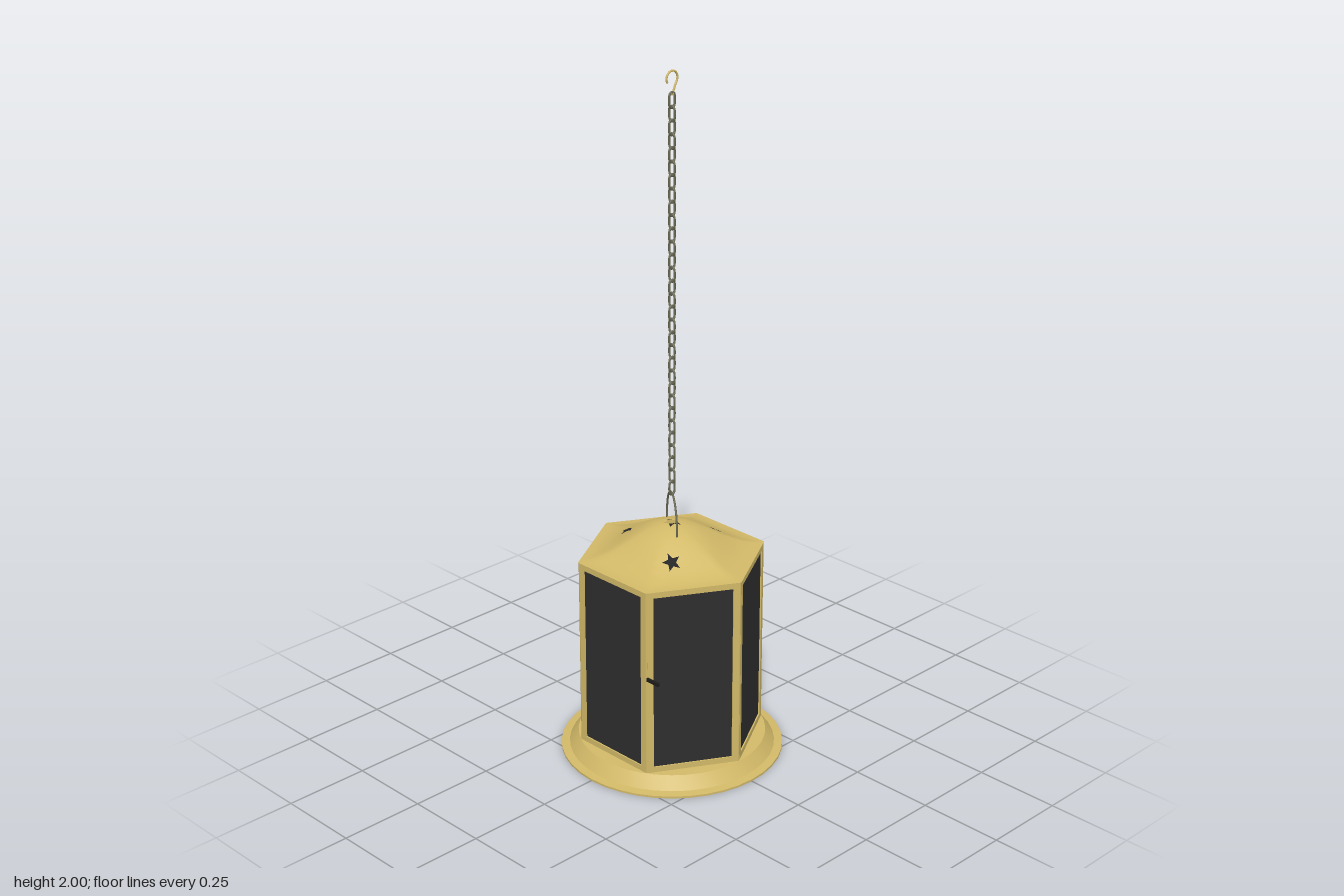
import * as THREE from 'three';
import { mergeVertices, toCreasedNormals } from 'three/addons/utils/BufferGeometryUtils.js';

const R = 0.272;                        // hexagon corner radius
const APOTHEM = R * Math.cos(Math.PI / 6);
const V3 = (x, y, z) => new THREE.Vector3(x, y, z);

// Five-pointed star outline as 2D points
function starPoints(cx, cy, outer, inner, turn) {
  return Array.from({ length: 10 }, (_, i) => {
    const a = turn + i * Math.PI / 5, r = i % 2 ? inner : outer;
    return new THREE.Vector2(cx + r * Math.cos(a), cy + r * Math.sin(a));
  });
}

// Roof height: round dome in the middle, blending to the hexagonal eave
function roofHeight(x, z) {
  let hex = 0;
  for (let i = 0; i < 6; i++) {
    const a = Math.PI / 6 + i * Math.PI / 3;
    hex = Math.max(hex, (x * Math.cos(a) + z * Math.sin(a)) / APOTHEM);
  }
  hex = Math.min(hex, 1);
  const blend = hex * hex * (3 - 2 * hex);
  const t = Math.min(1, (Math.hypot(x, z) / 0.265) * (1 - blend) + hex * blend);
  return 0.61 + 0.047 * (1 + Math.cos(Math.PI * t));
}

// Flat hexagon with star holes, subdivided and then raised into a dome
function roofGeometry() {
  const shape = new THREE.Shape(Array.from({ length: 6 }, (_, i) =>
    new THREE.Vector2(R * Math.cos(i * Math.PI / 3), R * Math.sin(i * Math.PI / 3))));
  for (const deg of [45, 165, 285]) {
    const a = -deg * Math.PI / 180;
    shape.holes.push(new THREE.Path(
      starPoints(0.143 * Math.cos(a), 0.143 * Math.sin(a), 0.027, 0.012, a - 0.2)));
  }
  shape.holes.push(new THREE.Path(starPoints(0, 0, 0.028, 0.013, Math.PI / 2)));
  const flat = new THREE.ShapeGeometry(shape).toNonIndexed().attributes.position;
  const out = [];
  const split = (tri) => {
    const lengths = tri.map((p, i) => p.distanceTo(tri[(i + 1) % 3]));
    const k = lengths.indexOf(Math.max(...lengths));
    const [a, b, c] = [tri[k], tri[(k + 1) % 3], tri[(k + 2) % 3]];
    if (lengths[k] < 0.024) {
      for (const p of tri) out.push(p.x, roofHeight(p.x, -p.y), -p.y);
      return;
    }
    const m = a.clone().add(b).multiplyScalar(0.5);
    split([a, m, c]);
    split([m, b, c]);
  };
  for (let i = 0; i < flat.count; i += 3) {
    split([0, 1, 2].map(j => new THREE.Vector3().fromBufferAttribute(flat, i + j)));
  }
  let geo = new THREE.BufferGeometry();
  geo.setAttribute('position', new THREE.Float32BufferAttribute(out, 3));
  geo = mergeVertices(geo, 1e-5);
  geo.computeVertexNormals();
  return geo;
}

// Rectangular frame with an opening
function frameGeometry(w, h, openW, openH, depth) {
  const rect = (C, a, b) => new C([[-a, -b], [a, -b], [a, b], [-a, b]]
    .map(p => new THREE.Vector2(p[0] / 2, p[1] / 2)));
  const shape = rect(THREE.Shape, w, h);
  shape.holes.push(rect(THREE.Path, openW, openH));
  return new THREE.ExtrudeGeometry(shape, { depth, bevelEnabled: false });
}

// One long oval chain link
function linkGeometry() {
  const pts = [];
  for (let i = 0; i < 12; i++) {
    const a = (i + 0.5) * Math.PI / 6;
    pts.push(V3(0.0095 * Math.cos(a), 0.0095 * Math.sin(a) + 0.0115 * Math.sign(Math.sin(a)), 0));
  }
  return new THREE.TubeGeometry(new THREE.CatmullRomCurve3(pts, true), 24, 0.0033, 6, true);
}

export function createModel() {
  const model = new THREE.Group();
  const material = (name, color, side = THREE.FrontSide) =>
    new THREE.MeshStandardMaterial({ name, color, side });
  const brass = material('brass', 0xd2b968);
  const brassSheet = material('brass sheet', 0xd2b968, THREE.DoubleSide);
  const darkGlass = material('dark glass', 0x2e2e2e);
  const wire = material('dark wire', 0x6c6b55);
  const black = material('black metal', 0x1c1c1a);

  const add = (name, geo, mat, parent = model) => {
    const mesh = new THREE.Mesh(geo, mat);
    mesh.name = name;
    parent.add(mesh);
    return mesh;
  };

  // Base tray with wide thin flange and hollow underside
  const tray = [[0, 0.025], [0.267, 0.025], [0.29, 0.001], [0.322, 0], [0.322, 0.006],
    [0.298, 0.009], [0.272, 0.045], [0, 0.045]].map(p => new THREE.Vector2(...p));
  add('base', toCreasedNormals(new THREE.LatheGeometry(tray, 40), 0.5), brass);
  add('baseStud', new THREE.CylinderGeometry(0.012, 0.012, 0.006, 16), brass).position.y = 0.023;

  // Six framed panes and the corner posts between them
  const frame = frameGeometry(0.264, 0.565, 0.228, 0.53, 0.012);
  const pane = new THREE.BoxGeometry(0.232, 0.534, 0.004);
  const post = new THREE.CylinderGeometry(0.006, 0.006, 0.565, 8);
  for (let i = 0; i < 6; i++) {
    const side = new THREE.Group();
    side.name = 'sidePanel';
    side.rotation.y = i * Math.PI / 3;
    side.position.y = 0.3265;
    add('paneFrame', frame, brass, side).position.z = APOTHEM - 0.013;
    add('pane', pane, darkGlass, side).position.z = APOTHEM - 0.007;
    model.add(side);
    const a = i * Math.PI / 3;
    add('cornerPost', post, brass).position.set(0.264 * Math.cos(a), 0.3265, 0.264 * Math.sin(a));
  }

  // Door latch beside the front corner
  add('latch', new THREE.BoxGeometry(0.046, 0.01, 0.007), black).position.set(0.161, 0.345, 0.233);

  // Domed roof pierced with stars
  add('roof', roofGeometry(), brassSheet);

  // Wire carrying handle, set at an angle
  const arch = Array.from({ length: 13 }, (_, i) => {
    const a = Math.PI * i / 12;
    return V3(0.07 * Math.cos(a), 0.705 + 0.088 * Math.sin(a), 0);
  });
  arch.unshift(V3(0.068, 0.685, 0));
  arch.push(V3(-0.068, 0.685, 0));
  add('handle', new THREE.TubeGeometry(new THREE.CatmullRomCurve3(arch), 40, 0.003, 6), wire)
    .rotation.y = -0.58;

  // Chain of alternating links
  const chain = new THREE.Group();
  chain.name = 'chain';
  const link = linkGeometry();
  for (let i = 0; i < 31; i++) {
    const m = add('chainLink', link, wire, chain);
    m.position.y = 0.809 + i * 0.037;
    m.rotation.y = i % 2 ? 0 : Math.PI / 2;
  }
  model.add(chain);

  // Open hook at the top of the chain
  const hook = [V3(0, 1.937, 0.006), V3(0, 1.934, -0.002), V3(0, 1.944, -0.006), V3(0, 1.958, -0.012)];
  for (let i = 0; i <= 8; i++) {
    const a = -0.35 + i * (Math.PI + 0.9) / 8;
    hook.push(V3(0, 1.977 + 0.02 * Math.sin(a), -0.02 * Math.cos(a)));
  }
  add('hook', new THREE.TubeGeometry(new THREE.CatmullRomCurve3(hook), 40, 0.003, 6), brassSheet);

  return model;
}
